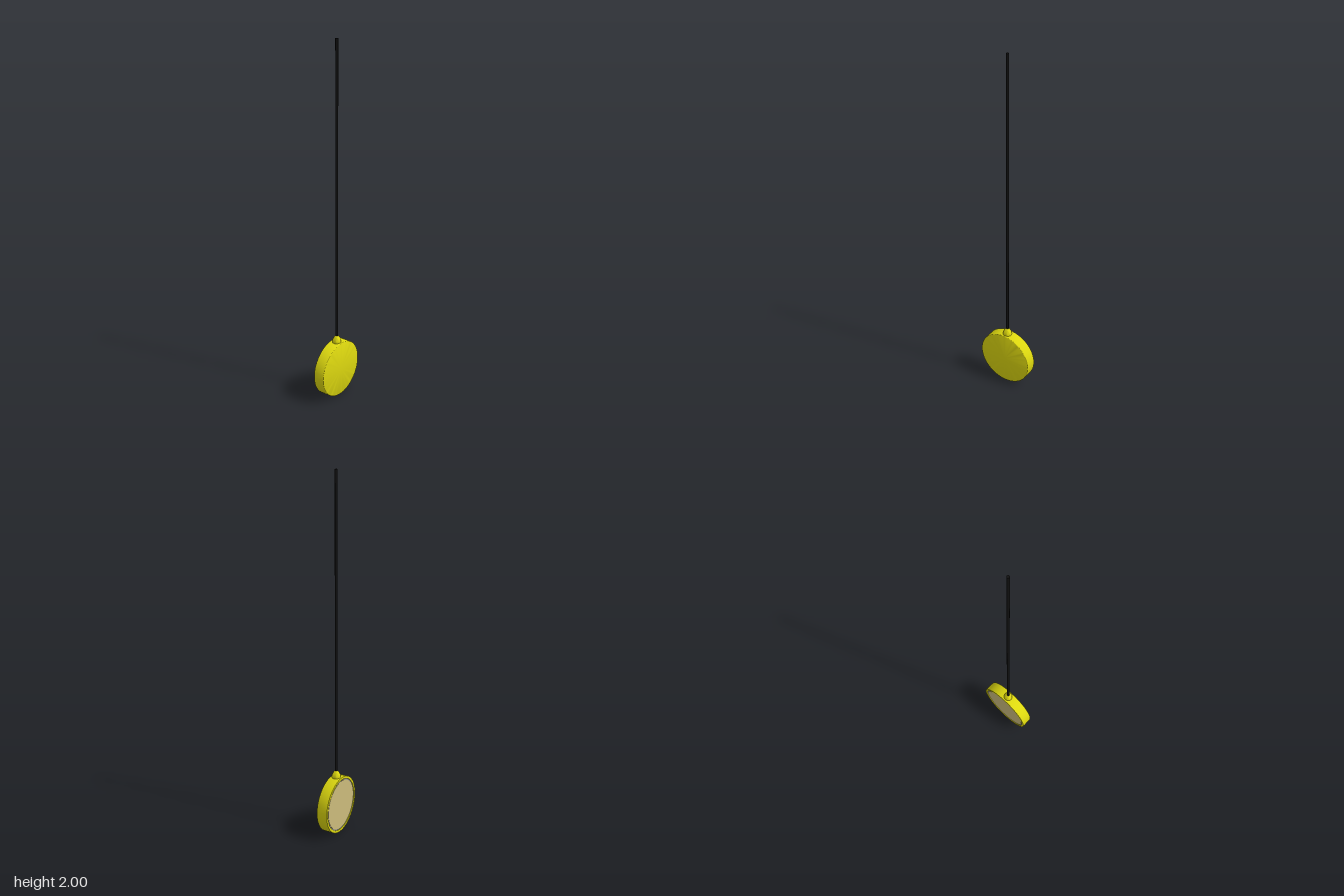
import * as THREE from 'three';
import { toCreasedNormals } from 'three/addons/utils/BufferGeometryUtils.js';

const yellow = new THREE.MeshStandardMaterial({ color: 0xddd80f });
const black = new THREE.MeshStandardMaterial({ color: 0x111111 });
const tan = new THREE.MeshStandardMaterial({ color: 0xcbbb7c });
const grey = new THREE.MeshStandardMaterial({ color: 0x888888 });

// Turned part: profile of [radius, height] pairs, with sharp edges kept
function turned(name, profile, material, segments = 72) {
  const points = profile.map(([r, y]) => new THREE.Vector2(r, y));
  const geometry = toCreasedNormals(new THREE.LatheGeometry(points, segments), 0.6);
  const mesh = new THREE.Mesh(geometry, material);
  mesh.name = name;
  return mesh;
}

export function createModel() {
  const model = new THREE.Group();
  model.name = 'pendant';

  // Round head, turned about z, with its open side to the back
  const head = new THREE.Group();
  head.name = 'head';
  head.position.y = 0.163;
  head.rotation.x = Math.PI / 2;
  model.add(head);

  // Shell: recessed back, flat rim, straight wall, rounded front edge
  const shell = [[0, -0.025], [0.149, -0.025], [0.149, -0.033], [0.163, -0.033]];
  const fillet = 0.006;
  for (let i = 0; i <= 5; i++) {
    const a = (i / 5) * Math.PI / 2;
    shell.push([0.163 - fillet + fillet * Math.cos(a), 0.032 - fillet + fillet * Math.sin(a)]);
  }
  shell.push([0, 0.032]);
  head.add(turned('shell', shell, yellow));

  // Back panel and the seal around it
  head.add(turned('backPanel', [[0, -0.031], [0.142, -0.031], [0.142, -0.024]], tan));
  head.add(turned('seal', [[0.141, -0.029], [0.149, -0.029]], grey));

  // Domed cord holder on top of the head
  const holder = [[0.025, 0.315], [0.025, 0.332], [0.0235, 0.34], [0.02, 0.348],
    [0.015, 0.356], [0.011, 0.362], [0.008, 0.364], [0, 0.364]];
  model.add(turned('cordHolder', holder, yellow, 40));

  // Cord
  const cord = new THREE.Mesh(new THREE.CylinderGeometry(0.0075, 0.0075, 1.65, 24), black);
  cord.name = 'cord';
  cord.position.y = 2 - 1.65 / 2;
  model.add(cord);

  return model;
}
